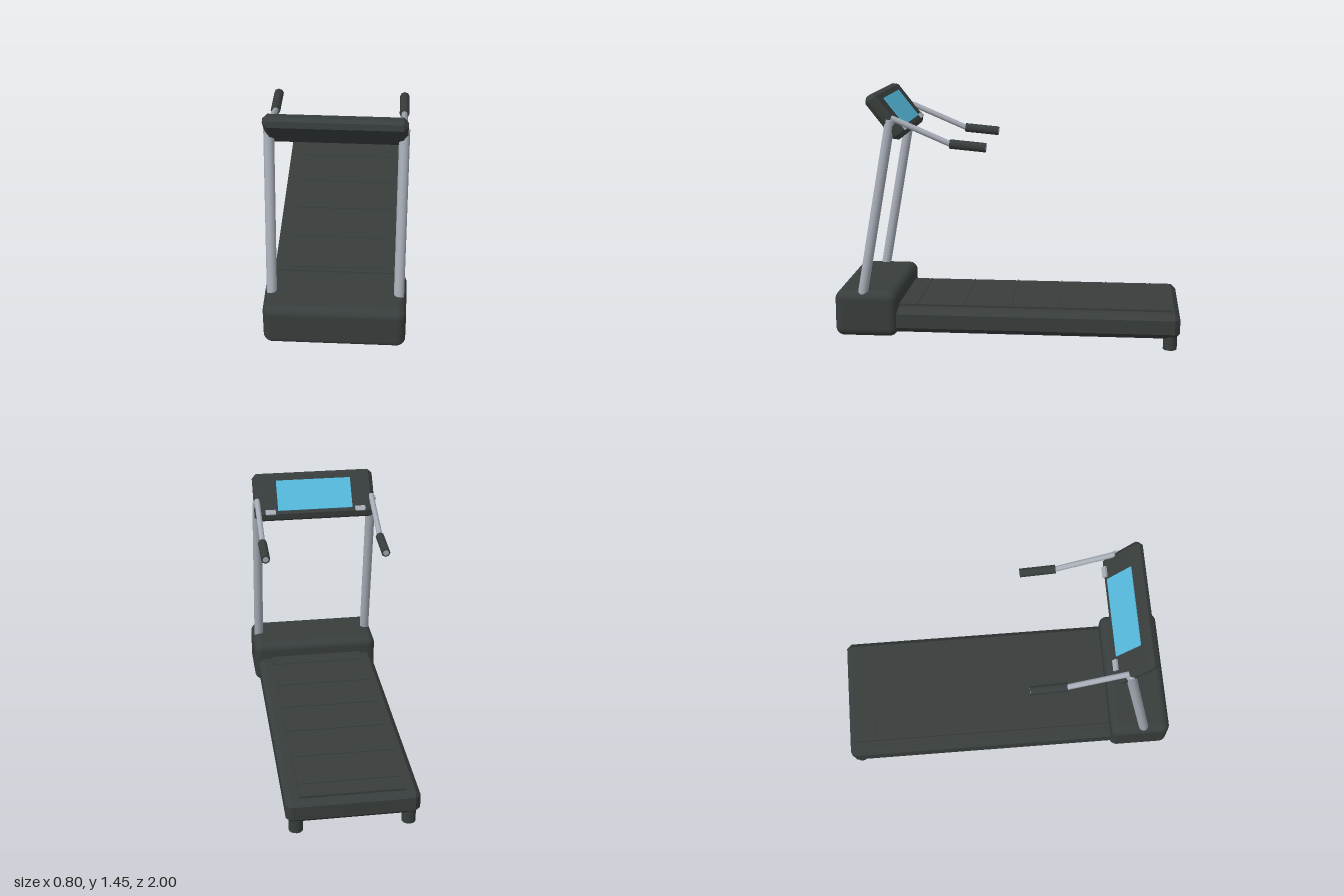
import * as THREE from 'three';
import { RoundedBoxGeometry } from 'three/addons/geometries/RoundedBoxGeometry.js';
import { ConvexGeometry } from 'three/addons/geometries/ConvexGeometry.js';

const material = (name, color) => {
  const m = new THREE.MeshStandardMaterial({ color });
  m.name = name;
  return m;
};

// Box with every edge and corner cut flat
function chamferBox(w, h, d, c) {
  const points = [];
  for (const sx of [-1, 1]) for (const sy of [-1, 1]) for (const sz of [-1, 1]) {
    for (let axis = 0; axis < 3; axis++) {
      const p = [w / 2, h / 2, d / 2].map((v, i) => (i === axis ? v : v - c));
      points.push(new THREE.Vector3(p[0] * sx, p[1] * sy, p[2] * sz));
    }
  }
  return new ConvexGeometry(points);
}

export function createModel() {
  const model = new THREE.Group();
  model.name = 'treadmill';
  const dark = material('charcoal plastic', 0x383e3d);
  const silver = material('silver metal', 0xa8aeb8);
  const blue = material('blue screen', 0x55b9dc);

  const add = (parent, name, geometry, mat, x = 0, y = 0, z = 0) => {
    const mesh = new THREE.Mesh(geometry, mat);
    mesh.name = name;
    mesh.position.set(x, y, z);
    parent.add(mesh);
    return mesh;
  };

  // Straight round bar between two points
  const bar = (name, from, to, radius, sides, mat) => {
    const a = new THREE.Vector3(...from), b = new THREE.Vector3(...to);
    const dir = b.clone().sub(a);
    const mesh = add(model, name, new THREE.CylinderGeometry(radius, radius, dir.length(), sides), mat);
    mesh.position.copy(a).add(b).multiplyScalar(0.5);
    mesh.quaternion.setFromUnitVectors(new THREE.Vector3(0, 1, 0), dir.normalize());
    return mesh;
  };

  // Motor hood and running deck
  add(model, 'motorHood', new RoundedBoxGeometry(0.8, 0.27, 0.365, 5, 0.05), dark, 0, 0.18, 0.8175);
  add(model, 'deck', chamferBox(0.75, 0.142, 1.75, 0.03), dark, 0, 0.14, -0.125);

  // Belt with narrow cross ridges
  add(model, 'belt', new THREE.BoxGeometry(0.59, 0.03, 1.66), dark, 0, 0.209, -0.13);
  for (let i = 0; i < 6; i++) {
    add(model, 'beltRidge', new THREE.BoxGeometry(0.59, 0.006, 0.008), dark, 0, 0.225, 0.53 - i * 0.274);
  }

  // Tilted console with screen and buttons on the user's side
  const console = new THREE.Group();
  console.name = 'console';
  console.position.set(0, 1.328, 0.69);
  console.rotation.x = 0.665;
  model.add(console);
  add(console, 'consoleBody', chamferBox(0.755, 0.3, 0.076, 0.026), dark);
  add(console, 'screen', new THREE.BoxGeometry(0.465, 0.195, 0.008), blue, 0, -0.006, -0.039);

  for (const side of [-1, 1]) {
    const x = side * 0.358;
    add(console, 'button', new THREE.BoxGeometry(0.062, 0.03, 0.02), silver, side * 0.28, -0.113, -0.042);
    add(model, 'rearFoot', new THREE.CylinderGeometry(0.04, 0.04, 0.1, 16), dark, side * 0.317, 0.05, -0.945);
    bar('upright', [x, 0.28, 0.84], [x, 1.315, 0.655], 0.029, 20, silver);
    // Handrail, grip and end plug
    bar('handrail', [x, 1.325, 0.65], [x, 1.18, 0.31], 0.017, 8, silver);
    bar('grip', [x, 1.182, 0.318], [x, 1.163, 0.112], 0.027, 8, dark);
    bar('gripEnd', [x, 1.165, 0.13], [x, 1.1628, 0.11], 0.018, 8, silver);
  }
  return model;
}
